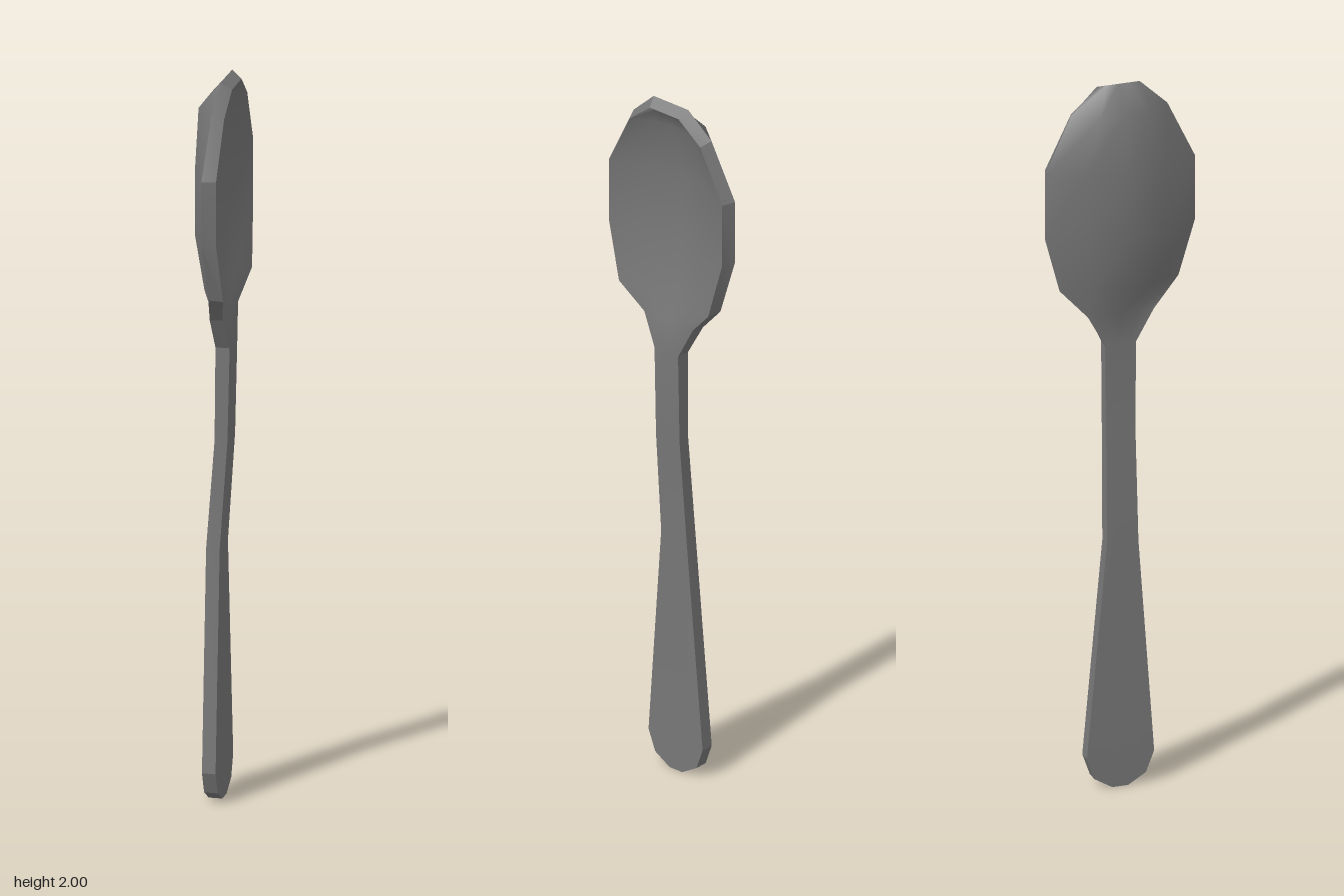
import * as THREE from 'three';
import { toCreasedNormals } from 'three/addons/utils/BufferGeometryUtils.js';

// Cross-sections from the handle end to the bowl tip:
// [y, zCentre, halfWidth, back edge x, back middle x, front edge x, front middle x, rim inset,
//  back quarter depth, front quarter depth, front drop]
const SECTIONS = [
  [0.00, -0.01, 0.022, -0.02, -0.02, 0.017, 0.017, 0, 1, 1, 0],
  [0.03, -0.01, 0.072, -0.02, -0.02, 0.017, 0.017, 0, 1, 1, 0],
  [0.09, -0.009, 0.094, -0.02, -0.02, 0.017, 0.017, 0, 1, 1, 0],
  [0.70, -0.003, 0.044, -0.02, -0.02, 0.017, 0.017, 0, 1, 1, 0],
  [1.00, 0, 0.041, 0.003, 0.003, 0.038, 0.038, 0, 1, 1, 0],
  [1.26, 0, 0.043, 0.006, 0.006, 0.044, 0.044, 0.002, 1, 1, 0],
  [1.35, 0, 0.092, 0.003, 0.0, 0.035, 0.033, 0.008, 0.64, 0.64, 0],
  [1.43, 0, 0.166, 0.018, -0.03, 0.055, 0.006, 0.011, 0.64, 0.64, 0.005],
  [1.59, 0, 0.21, 0.01, -0.057, 0.047, -0.02, 0.013, 0.64, 0.64, 0],
  [1.77, 0, 0.21, 0.01, -0.057, 0.047, -0.02, 0.013, 0.64, 0.64, 0],
  [1.93, 0, 0.135, 0.018, -0.033, 0.05, 0.01, 0.012, 1, 0.8, 0.01],
  [2.00, 0, 0.06, 0.025, 0.025, 0.053, 0.053, 0.01, 1, 1, 0.02],
];
const STEPS = [-1, -0.52, 0, 0.52, 1];

// Five points across a section, running from -z to +z
const across = (y, zc, w, edge, mid, quarter) => STEPS.map((s, i) => [
  edge + (mid - edge) * [0, quarter, 1, quarter, 0][i], y, zc + s * w]);
const BACK = SECTIONS.map(([y, zc, w, edge, mid, , , , quarter]) =>
  across(y, zc, w, edge, mid, quarter));
const FRONT = SECTIONS.map(([y, zc, w, , , edge, mid, inset, , quarter, drop]) =>
  across(y - drop, zc, w - inset, edge, mid, quarter));

// Surface through rows of points
function sheet(rows) {
  const n = rows[0].length;
  const index = [];
  for (let r = 0; r < rows.length - 1; r++) {
    for (let i = 0; i < n - 1; i++) {
      const a = r * n + i;
      index.push(a, a + 1, a + n + 1, a, a + n + 1, a + n);
    }
  }
  const geometry = new THREE.BufferGeometry();
  geometry.setAttribute('position', new THREE.Float32BufferAttribute(rows.flat(2), 3));
  geometry.setIndex(index);
  geometry.computeVertexNormals();
  return geometry;
}

// Narrow wall round the whole outline, up the +z side and down the -z side
function rimGeometry() {
  const outline = (rows) => {
    const left = rows.map((row) => row[4]);
    const right = rows.map((row) => row[0]).reverse();
    return [...left, ...right, left[0]];
  };
  return toCreasedNormals(sheet([outline(FRONT), outline(BACK)]), 0.25);
}

export function createModel() {
  const group = new THREE.Group();
  group.name = 'spoon';
  const material = new THREE.MeshStandardMaterial({ color: 0x777777 });
  const add = (name, geometry) => {
    const mesh = new THREE.Mesh(geometry, material);
    mesh.name = name;
    group.add(mesh);
  };

  // Smooth convex back, smooth hollow front, faceted rim between them
  add('backSurface', sheet(BACK));
  add('frontSurface', sheet(FRONT.map((row) => [...row].reverse())));
  add('rim', rimGeometry());
  return group;
}
